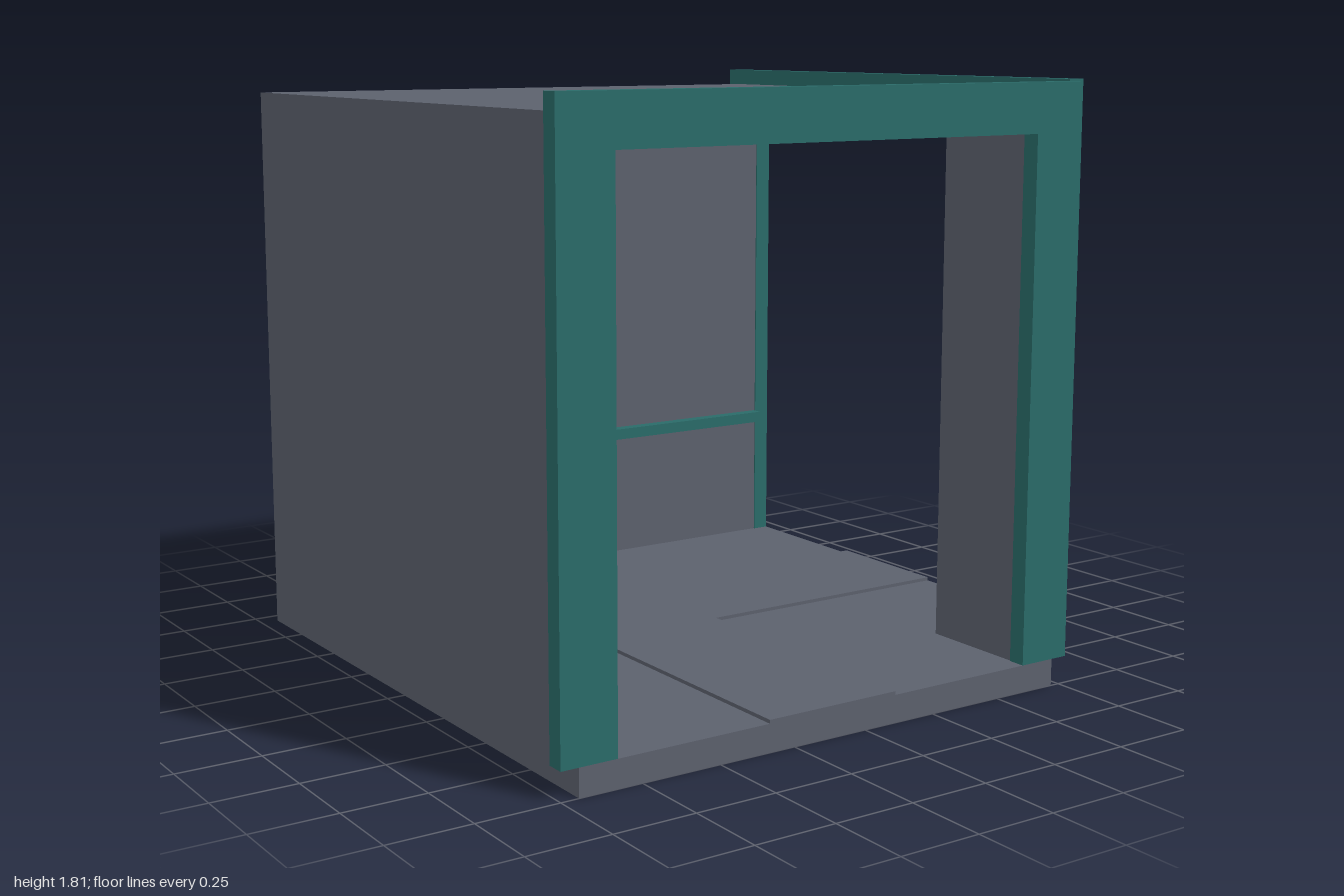
import * as THREE from 'three';

export function createModel() {
  const model = new THREE.Group();
  model.name = 'cornerLiftCabin';

  const grey = new THREE.MeshStandardMaterial({ color: 0x5c616d });
  grey.name = 'slate grey';
  const teal = new THREE.MeshStandardMaterial({ color: 0x2a6b69 });
  teal.name = 'deep teal';

  const add = (name, geometry, material) => {
    const mesh = new THREE.Mesh(geometry, material);
    mesh.name = name;
    model.add(mesh);
    return mesh;
  };

  // Box given by its extents on each axis
  const box = (name, [x0, x1], [y0, y1], [z0, z1], material) => {
    const g = new THREE.BoxGeometry(x1 - x0, y1 - y0, z1 - z0);
    g.translate((x0 + x1) / 2, (y0 + y1) / 2, (z0 + z1) / 2);
    return add(name, g, material);
  };

  // The cabin is symmetric about the x = z diagonal: build a box and its twin
  const twin = (names, a, y, b, material) => {
    box(names[0], a, y, b, material);
    box(names[1], b, y, a, material);
  };

  // Slab with a floor plan of [x, z] points between two heights
  const slab = (name, plan, y0, y1, material) => {
    const shape = new THREE.Shape(plan.map(([x, z]) => new THREE.Vector2(x, -z)));
    const g = new THREE.ExtrudeGeometry(shape, { depth: y1 - y0, bevelEnabled: false });
    g.rotateX(-Math.PI / 2);
    g.translate(0, y0, 0);
    return add(name, g, material);
  };

  const out = 0.945; // outer wall face
  const inn = 0.83; // inner wall face
  const notch = 0.72; // cut-out corner
  const post = 0.605; // inner side of the corner post
  const floorY = 0.083;
  const ceilY = 1.67;
  const roofY = 1.755;
  const skin = 0.006;

  // Square plan with the front left corner cut out
  const notchedPlan = (far) => [
    [-out, -out], [far, -out], [far, notch], [notch, notch], [notch, far], [-out, far],
  ];

  // Floor deck with a raised walkway joining the two doorways
  slab('floorDeck', notchedPlan(1), floorY - skin, floorY, grey);
  slab('raisedWalkway', [
    [-0.335, -0.335], [1, -0.335], [1, 0.11], [0.11, 0.11], [0.11, 1], [-0.335, 1],
  ], floorY, 0.094, grey);

  // Thin skirt round the open underside
  const skirtY = [0, floorY - skin];
  twin(['leftSill', 'frontSill'], [1 - skin, 1], skirtY, [-out, notch], grey);
  twin(['rightSkirt', 'backSkirt'], [-out, -out + skin], skirtY, [-out, 1], grey);
  box('notchSkirt', [notch, 1], skirtY, [notch - skin, notch], grey);
  box('underfloorRib', [notch - skin, notch], skirtY, [-out, 1], grey);

  // Two solid walls, corner post and roof
  const wallY = [floorY - skin, ceilY];
  box('rightWall', [-out, -inn], wallY, [-out, out], grey);
  box('backWall', [-inn, out], wallY, [-out, -inn], grey);
  slab('cornerPost', [
    [post, post], [out, post], [out, notch], [notch, notch], [notch, out], [post, out],
  ], floorY - skin, ceilY, grey);
  slab('roof', notchedPlan(out), ceilY, roofY, grey);

  // Wall pilasters and handrails
  twin(['rightPilaster', 'backPilaster'], [-inn, -0.8], [floorY, ceilY], [-0.147, -0.072], grey);
  twin(['rightHandrail', 'backHandrail'], [-inn, -0.79], [0.503, 0.54], [-inn, 0.94], teal);

  // Ceiling panel held between two rails
  box('ceilingPanel', [-0.4, 0.17], [1.645, ceilY], [-0.44, 0.225], grey);
  for (const x of [-0.44, 0.172]) {
    box('ceilingRail', [x, x + 0.04], [1.614, ceilY], [-0.44, 0.225], grey);
  }

  // Door surrounds: an upside-down U on the front and on the left side
  const frameShape = new THREE.Shape([
    [-1, 0.083], [-0.826, 0.083], [-0.826, 1.66], [0.602, 1.66],
    [0.602, 0.083], [0.775, 0.083], [0.775, 1.807], [-1, 1.807],
  ].map(([x, y]) => new THREE.Vector2(x, y)));
  const frontFrame = new THREE.ExtrudeGeometry(frameShape, { depth: 1 - out, bevelEnabled: false });
  frontFrame.translate(0, 0, out);
  add('frontDoorFrame', frontFrame, teal);

  // Mirrored outline turned to face +x
  const sideShape = new THREE.Shape(
    frameShape.getPoints().map((p) => new THREE.Vector2(-p.x, p.y)).reverse());
  const sideFrame = new THREE.ExtrudeGeometry(sideShape, { depth: 1 - out, bevelEnabled: false });
  sideFrame.translate(0, 0, out);
  sideFrame.rotateY(Math.PI / 2);
  add('leftDoorFrame', sideFrame, teal);

  return model;
}
